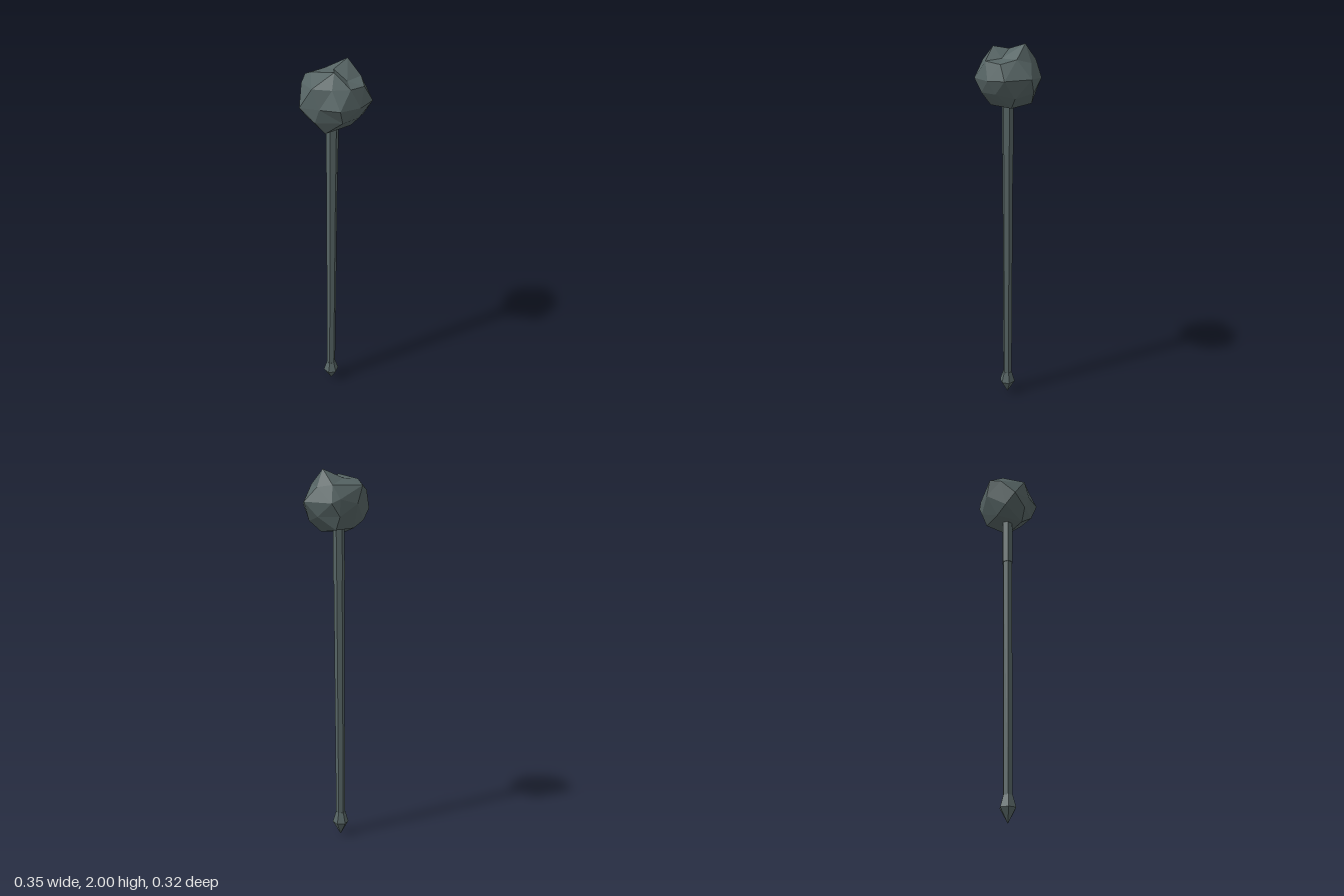
import * as THREE from 'three';
import { ConvexGeometry } from 'three/addons/geometries/ConvexGeometry.js';

const stone = new THREE.MeshStandardMaterial({ color: 0x566464, flatShading: true });
stone.name = 'dark grey stone';

// Corners of the rough boulder: x, y, z
const corners = [
  // crown
  [-0.06, 1.985, 0.053], [0.087, 2.0, -0.023], [-0.01, 1.972, -0.01], [0.01, 1.93, 0.062],
  [-0.06, 1.92, -0.16], [0.003, 1.955, -0.087], [-0.085, 1.955, -0.085], [-0.16, 1.92, 0.013],
  [-0.03, 1.92, 0.133], [0.063, 1.91, 0.122], [0.105, 1.93, 0.053], [0.125, 1.91, -0.027],
  [0.083, 1.92, -0.103], [-0.115, 1.9, -0.12], [-0.1, 1.92, 0.085],
  // waist
  [0.173, 1.84, 0.02], [0.105, 1.835, 0.136], [0.01, 1.83, 0.158], [-0.1, 1.835, 0.143],
  [-0.15, 1.83, 0.053], [-0.175, 1.81, -0.063], [-0.03, 1.83, -0.16], [0.063, 1.85, -0.142],
  [0.103, 1.83, -0.125],
  // underside
  [-0.15, 1.755, 0.02], [-0.07, 1.765, 0.125], [0.03, 1.765, 0.125], [0.11, 1.745, 0.07],
  [0.13, 1.765, -0.04], [0.06, 1.765, -0.135], [-0.12, 1.75, -0.09], [-0.1, 1.69, 0.035],
  [0.055, 1.69, 0.04], [0.06, 1.70, -0.1], [-0.05, 1.71, -0.1], [-0.02, 1.70, -0.01],
].map((p) => new THREE.Vector3(...p));

// Hull the corner directions on a sphere, then move each vertex back to its corner,
// so that dents are kept.
function boulderGeometry() {
  const centre = new THREE.Vector3(0, 1.84, 0);
  const dirs = corners.map((c) => c.clone().sub(centre).normalize());
  const geo = new ConvexGeometry(dirs);
  const pos = geo.attributes.position;
  const v = new THREE.Vector3();
  for (let i = 0; i < pos.count; i++) {
    v.fromBufferAttribute(pos, i);
    let best = 0;
    dirs.forEach((d, j) => { if (d.dot(v) > dirs[best].dot(v)) best = j; });
    pos.setXYZ(i, corners[best].x, corners[best].y, corners[best].z);
  }
  geo.computeVertexNormals();
  return geo;
}

// Six-sided turned part from [radius, height] pairs
function turned(name, profile) {
  const points = profile.map(([r, y]) => new THREE.Vector2(r, y));
  const mesh = new THREE.Mesh(new THREE.LatheGeometry(points, 6), stone);
  mesh.name = name;
  return mesh;
}

export function createModel() {
  const model = new THREE.Group();
  model.name = 'stoneMace';

  const head = new THREE.Mesh(boulderGeometry(), stone);
  head.name = 'boulderHead';
  model.add(head);

  // Slightly leaning handle
  const handle = new THREE.Group();
  handle.name = 'handle';
  handle.add(
    turned('pommelSpike', [[0, 0.005], [0.044, 0.08], [0.026, 0.14], [0, 0.14]]),
    turned('shaft', [[0.025, 0.13], [0.028, 1.46]]),
    turned('collar', [[0.027, 1.44], [0.031, 1.44], [0.03, 1.74]]),
  );
  handle.position.set(-0.032, 0, -0.016);
  handle.rotation.set(0.004, 0, -0.007);
  model.add(handle);

  return model;
}
